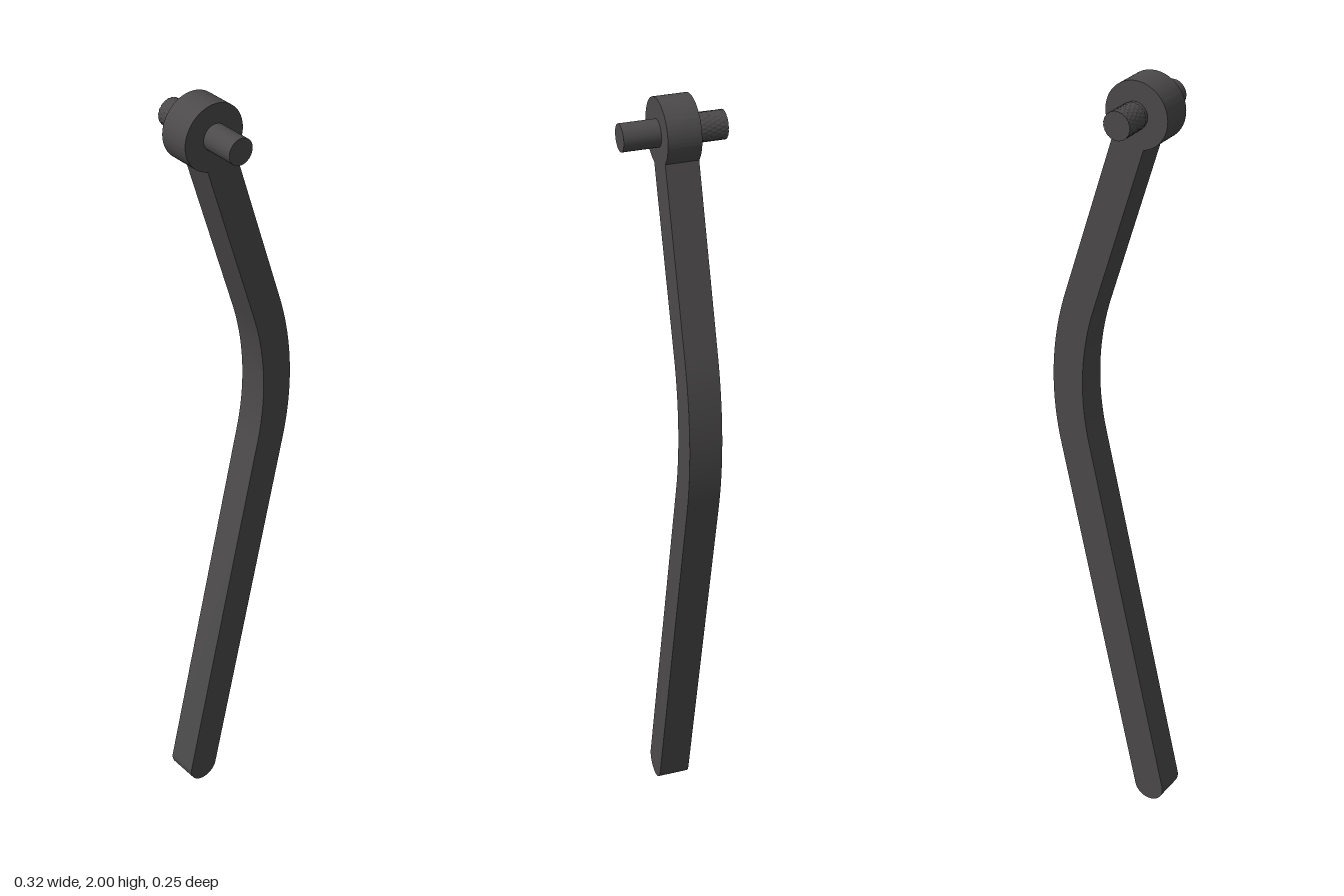
import * as THREE from 'three';
import { toCreasedNormals } from 'three/addons/utils/BufferGeometryUtils.js';

const RING = { x: -0.073, y: 1.918, r: 0.082 }; // eye at the top
const TIP = { x: -0.12, y: 0.042 };             // rounded lower end
const BEND = { x: -0.63, y: 1.19, r: 0.75 };    // centre line of the bend
const HALF = 0.042;                             // half the arm's width
const BACK = -0.047, FRONT = 0.035;

// Angle on the bend circle where the tangent from point p touches it
function tangentAngle(p, sign) {
  const dx = p.x - BEND.x, dy = p.y - BEND.y;
  return Math.atan2(dy, dx) + sign * Math.acos(BEND.r / Math.hypot(dx, dy));
}

// Bent arm and its round eye as one outline
function armShape() {
  const low = tangentAngle(TIP, 1), high = tangentAngle(RING, -1);
  const spread = Math.asin(HALF / RING.r);
  const down = high - Math.PI / 2; // direction from the eye into the arm
  const shape = new THREE.Shape();
  shape.absarc(TIP.x, TIP.y, HALF, low - Math.PI, low, false);
  shape.absarc(BEND.x, BEND.y, BEND.r + HALF, low, high, false);
  shape.absarc(RING.x, RING.y, RING.r, down + spread, down - spread + Math.PI * 2, false);
  shape.absarc(BEND.x, BEND.y, BEND.r - HALF, high, low, true);
  return shape;
}

// Cylinder along z between two depths, centred on the eye
function rod(r, z0, z1, radial = 48, rows = 1) {
  const g = new THREE.CylinderGeometry(r, r, z1 - z0, radial, rows);
  g.rotateX(Math.PI / 2);
  g.translate(0, 0, (z0 + z1) / 2);
  return g;
}

// Diamond knurling: two crossing sets of helical grooves
function knurledRod(r, z0, z1) {
  const g = rod(r, z0, z1, 120, 24);
  const p = g.attributes.position;
  const toRidge = (t) => Math.abs(t - Math.round(t));
  for (let i = 0; i < p.count; i++) {
    const x = p.getX(i), y = p.getY(i);
    if (Math.hypot(x, y) < r / 2) continue;
    const u = (Math.atan2(y, x) / (Math.PI * 2)) * 20;
    const v = ((p.getZ(i) - z0) / (z1 - z0)) * 3;
    const d = Math.min(toRidge(u + v), toRidge(u - v));
    const k = 1 - 0.05 * Math.max(0, 1 - d / 0.2);
    p.setXY(i, x * k, y * k);
  }
  g.computeVertexNormals();
  return g;
}

export function createModel() {
  const group = new THREE.Group();
  const material = new THREE.MeshStandardMaterial({ color: 0x4c4a4a });
  const add = (name, geometry, x = 0, y = 0) => {
    const mesh = new THREE.Mesh(geometry, material);
    mesh.name = name;
    mesh.position.set(x, y, 0);
    group.add(mesh);
  };

  const arm = new THREE.ExtrudeGeometry(armShape(), {
    depth: FRONT - BACK, bevelEnabled: false, curveSegments: 40,
  });
  arm.translate(0, 0, BACK);
  add('arm', toCreasedNormals(arm, 0.5));

  // Pin through the eye, with a knurled end at the back
  add('pin', rod(0.033, -0.06, 0.125), -0.07, RING.y);
  add('knurledEnd', knurledRod(0.035, -0.127, -0.057), -0.07, RING.y);
  return group;
}
